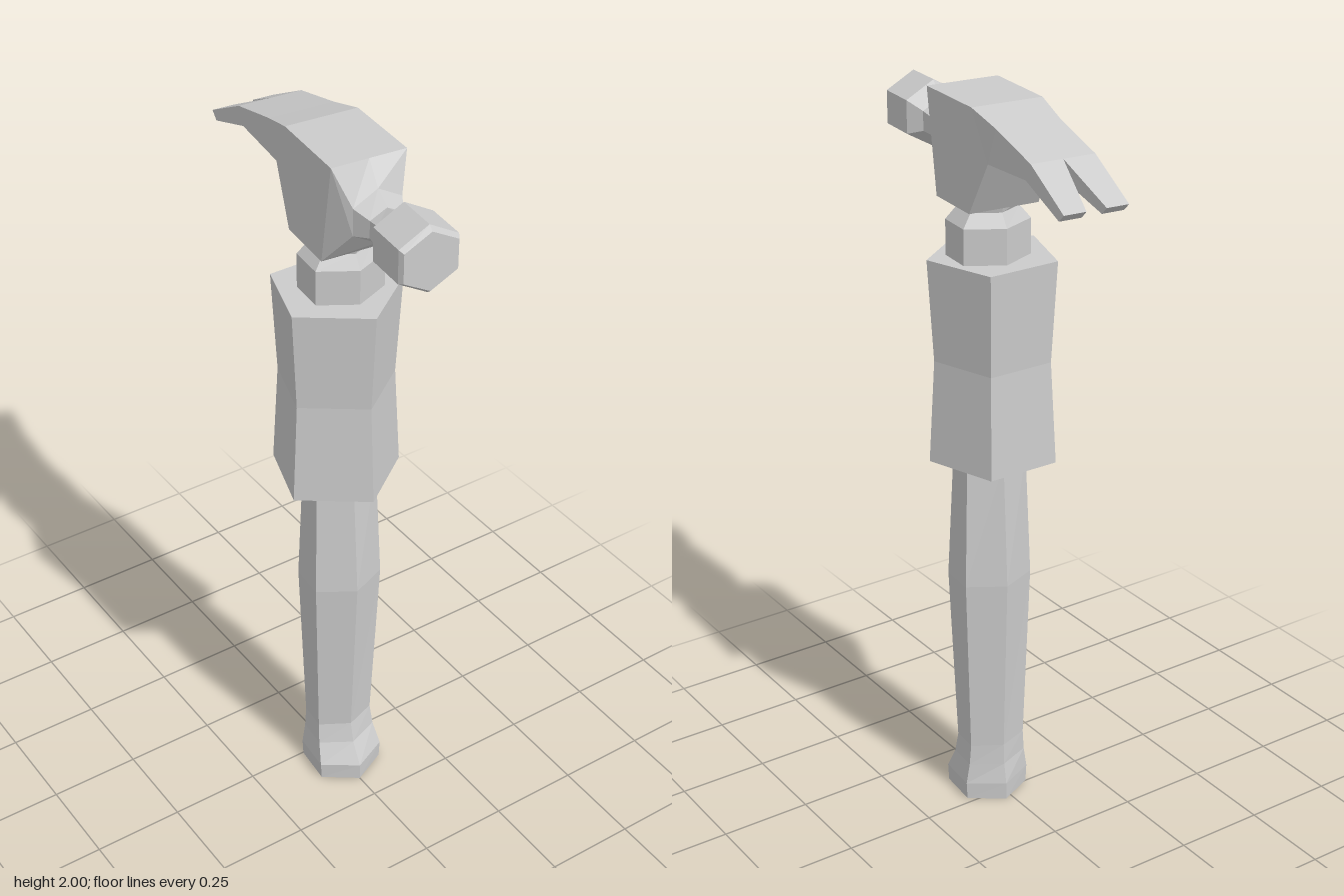
import * as THREE from 'three';

const material = new THREE.MeshStandardMaterial({ color: 0xcccccc, flatShading: true });

// Skin a list of rings (counter-clockwise seen from the far end), with optional caps
function loft(name, rings, capStart = true, capEnd = true) {
  const pos = [];
  const n = rings[0].length;
  const tri = (...pts) => pts.forEach((p) => pos.push(...p));
  for (let i = 0; i < rings.length - 1; i++) {
    for (let j = 0; j < n; j++) {
      const k = (j + 1) % n;
      const a = rings[i][j], b = rings[i][k], c = rings[i + 1][k], d = rings[i + 1][j];
      tri(a, b, c);
      tri(a, c, d);
    }
  }
  const last = rings[rings.length - 1];
  for (let j = 1; j < n - 1; j++) {
    if (capStart) tri(rings[0][0], rings[0][j + 1], rings[0][j]);
    if (capEnd) tri(last[0], last[j], last[j + 1]);
  }
  const geometry = new THREE.BufferGeometry();
  geometry.setAttribute('position', new THREE.Float32BufferAttribute(pos, 3));
  geometry.computeVertexNormals();
  const mesh = new THREE.Mesh(geometry, material);
  mesh.name = name;
  return mesh;
}

// Horizontal polygon ring with one corner toward +z
const flatRing = (n, y, rx, rz, cz = 0) =>
  Array.from({ length: n }, (_, i) => {
    const a = (i / n) * Math.PI * 2;
    return [rx * Math.sin(a), y, cz + rz * Math.cos(a)];
  });

// Upright hexagon ring with one corner up
const uprightHex = (z, y, rx, ry) =>
  Array.from({ length: 6 }, (_, i) => {
    const a = Math.PI / 2 + (i * Math.PI) / 3;
    return [rx * Math.cos(a), y + ry * Math.sin(a), z];
  });

// Six-point box section of the head; top and bottom may sit at different z
const boxRing = (w, yTop, zTop, yBottom, zBottom) => [
  [0, yTop, zTop], [-w, yTop, zTop], [-w, yBottom, zBottom],
  [0, yBottom, zBottom], [w, yBottom, zBottom], [w, yTop, zTop],
];

// Four-point section of a claw tine
const tineRing = (x1, x2, yTop, zTop, yBottom, zBottom) => [
  [x1, yTop, zTop], [x1, yBottom, zBottom], [x2, yBottom, zBottom], [x2, yTop, zTop],
];

export function createModel() {
  const model = new THREE.Group();
  model.name = 'hammer';

  // Handle and head are turned slightly against the grip
  const tool = new THREE.Group();
  tool.name = 'tool';
  tool.position.set(0.012, 0, 0.05);
  tool.rotation.y = -0.093;
  model.add(tool);

  // Six-sided handle: y, x radius, z radius, z centre
  const handle = [
    [0, 0.108, 0.111, 0.016],
    [0.05, 0.111, 0.111, 0.016],
    [0.11, 0.1, 0.085, 0.002],
    [0.17, 0.095, 0.076, -0.004],
    [0.68, 0.114, 0.1, 0],
    [1.03, 0.101, 0.077, -0.003],
    [1.56, 0.111, 0.096, 0],
    [1.68, 0.111, 0.096, 0],
    [1.715, 0.08, 0.072, 0],
    [1.735, 0.1, 0.077, 0],
  ];
  tool.add(loft('handle', handle.map(([y, rx, rz, cz]) => flatRing(6, y, rx, rz, cz))));

  // Head: claw root, body, neck and striking face in one skin
  const head = new THREE.Group();
  head.name = 'head';
  tool.add(head);
  head.add(loft('headBody', [
    boxRing(0.087, 1.93, -0.362, 1.885, -0.34),
    boxRing(0.088, 1.972, -0.2, 1.875, -0.16),
    boxRing(0.098, 2, -0.097, 1.73, -0.082),
    boxRing(0.1, 2, 0.13, 1.73, 0.085),
    uprightHex(0.172, 1.87, 0.075, 0.072),
    uprightHex(0.215, 1.868, 0.052, 0.046),
    uprightHex(0.255, 1.872, 0.055, 0.052),
    uprightHex(0.288, 1.878, 0.09, 0.088),
    uprightHex(0.4, 1.878, 0.09, 0.088),
    uprightHex(0.413, 1.877, 0.082, 0.077),
  ], false, true));

  // Two claw tines with the V notch between them
  const tines = [['clawTineRight', -0.087, 0, -0.087, -0.027], ['clawTineLeft', 0, 0.087, 0.027, 0.087]];
  for (const [name, x1, x2, tip1, tip2] of tines) {
    head.add(loft(name, [
      tineRing(tip1, tip2, 1.85, -0.513, 1.83, -0.492),
      tineRing(x1, x2, 1.93, -0.362, 1.885, -0.34),
    ], true, false));
  }

  // Five-sided waisted grip sleeve
  const sleeve = [[1.03, 0.173], [1.31, 0.157], [1.585, 0.173]];
  model.add(loft('gripSleeve', sleeve.map(([y, r]) => flatRing(5, y, r, r, 0.047))));

  return model;
}
